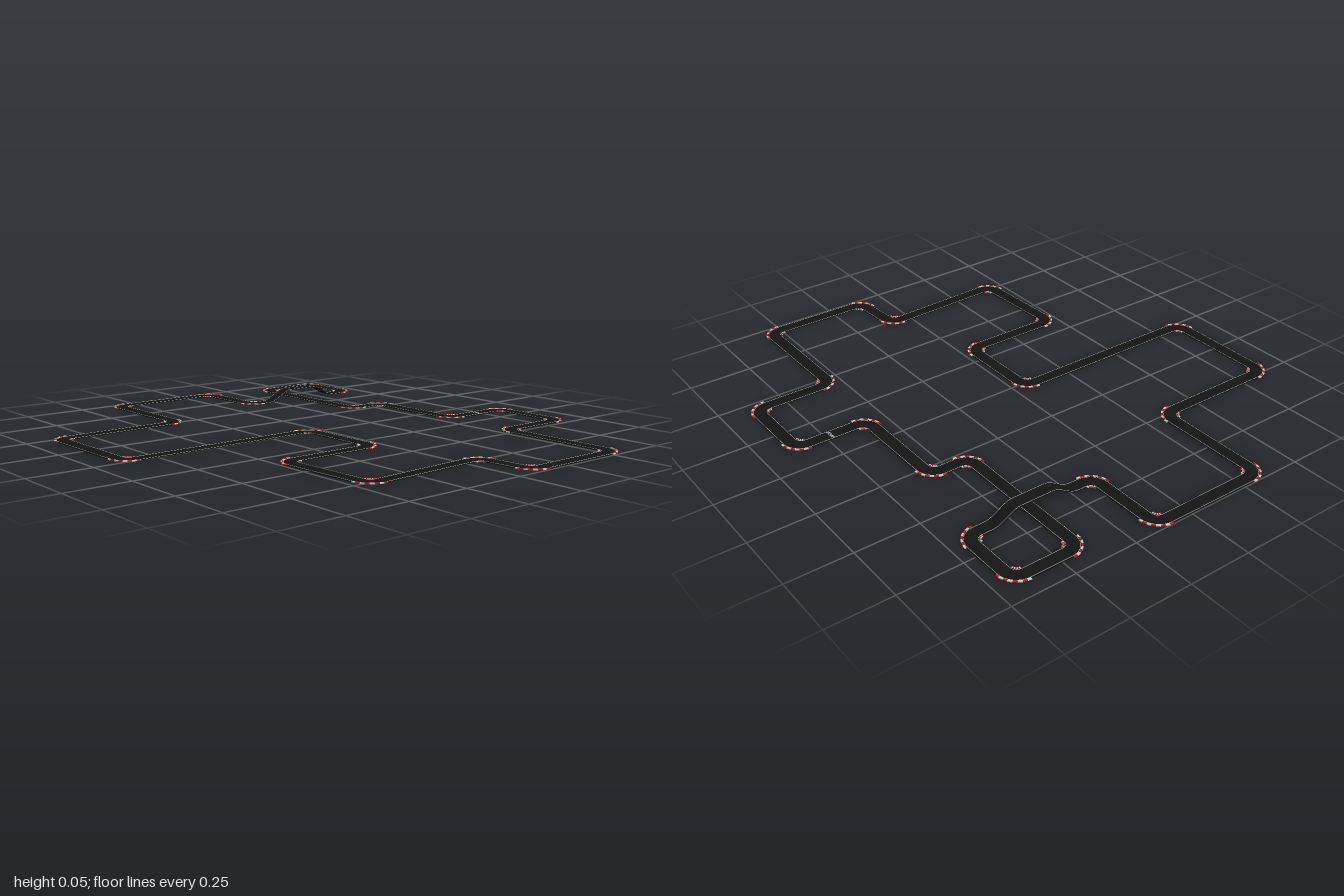
import * as THREE from 'three';

// Centre-line corners of the circuit as [x, z], in driving order
const CORNERS = [
  [-0.345, -0.968], [0.135, -0.968], [0.135, -0.648], [0.675, -0.648], [0.675, -0.907],
  [0.41, -0.907], [0.41, -0.294], [0.574, -0.294], [0.574, 0.132], [0.87, 0.132],
  [0.87, 0.452], [0.548, 0.452], [0.548, 0.964], [0.105, 0.964], [0.09, 0.737],
  [-0.443, 0.762], [-0.46, 0.345], [-0.05, 0.345], [-0.05, -0.02], [-0.874, -0.02],
  [-0.874, -0.495], [-0.345, -0.495],
];
const BRIDGE = 2; // straight that starts at this corner climbs over the other road
const RADIUS = 0.05, HALF = 0.028, ARC_STEPS = 8, ROAD_TOP = 0.003;

const { smoothstep } = THREE.MathUtils;
const bridgeHeight = (x) => 0.046 * smoothstep(x, 0.22, 0.335) * (1 - smoothstep(x, 0.465, 0.58));

// Rounded centre line; also notes where each bend begins
function buildPath() {
  const points = [], bends = [];
  const n = CORNERS.length;
  const corner = (i) => new THREE.Vector3(CORNERS[(i + n) % n][0], 0, CORNERS[(i + n) % n][1]);
  for (let i = 0; i < n; i++) {
    const p = corner(i);
    const u = corner(i - 1).sub(p).normalize();
    const v = corner(i + 1).sub(p).normalize();
    const centre = p.clone().addScaledVector(u, RADIUS).addScaledVector(v, RADIUS);
    bends.push(points.length);
    for (let s = 0; s <= ARC_STEPS; s++) {
      const a = (s / ARC_STEPS) * Math.PI / 2;
      points.push(centre.clone()
        .addScaledVector(v, -RADIUS * Math.cos(a))
        .addScaledVector(u, -RADIUS * Math.sin(a)));
    }
    if (i === BRIDGE) {
      const start = points[points.length - 1];
      const end = corner(i + 1).addScaledVector(v, -RADIUS);
      for (let s = 1; s < 48; s++) {
        const q = start.clone().lerp(end, s / 48);
        q.y = bridgeHeight(q.x);
        points.push(q);
      }
    }
  }
  // Sideways direction at each point, averaged from its two neighbouring pieces
  const flat = (a, b) => new THREE.Vector3(b.x - a.x, 0, b.z - a.z).normalize();
  const m = points.length;
  const sides = points.map((p, i) => {
    const t = flat(points[(i + m - 1) % m], p).add(flat(p, points[(i + 1) % m])).normalize();
    return new THREE.Vector3(-t.z, 0, t.x);
  });
  return { points, sides, bends };
}

// Adds a thin slab along the path between two sideways offsets
function addStrip(out, path, from, count, o0, o1, y0, y1, capped) {
  const m = path.points.length;
  const section = (i) => {
    const p = path.points[i % m], s = path.sides[i % m];
    return [[o0, y0], [o0, y1], [o1, y1], [o1, y0]].map(([o, y]) =>
      [p.x + s.x * o, p.y + y, p.z + s.z * o]);
  };
  const quad = (a, b, c, d) => out.push(...a, ...b, ...c, ...a, ...c, ...d);
  for (let i = from; i < from + count; i++) {
    const A = section(i), B = section(i + 1);
    for (let k = 0; k < 4; k++) quad(A[k], A[(k + 1) % 4], B[(k + 1) % 4], B[k]);
  }
  if (capped) {
    const A = section(from), B = section(from + count);
    quad(A[3], A[2], A[1], A[0]);
    quad(B[0], B[1], B[2], B[3]);
  }
}

function stripMesh(name, positions, color) {
  const geometry = new THREE.BufferGeometry();
  geometry.setAttribute('position', new THREE.Float32BufferAttribute(positions, 3));
  geometry.computeVertexNormals();
  const mesh = new THREE.Mesh(geometry, new THREE.MeshStandardMaterial({ color }));
  mesh.name = name;
  return mesh;
}

export function createModel() {
  const group = new THREE.Group();
  group.name = 'raceCircuit';
  const path = buildPath();
  const total = path.points.length;

  // Asphalt with the raised bridge
  const road = [];
  addStrip(road, path, 0, total, -HALF, HALF, 0, ROAD_TOP, false);
  group.add(stripMesh('road', road, 0x141414));

  // Thin painted lines along both edges
  const lines = [];
  for (const o of [-0.0245, 0.0245]) {
    addStrip(lines, path, 0, total, o - 0.0006, o + 0.0006, ROAD_TOP - 0.001, ROAD_TOP + 0.0008, false);
  }
  group.add(stripMesh('edgeLines', lines, 0xe8e8e8));

  // Red and white kerb blocks on both sides of every bend
  const red = [], white = [];
  for (const bend of path.bends) {
    for (let s = 0; s < ARC_STEPS; s++) {
      const target = s % 2 ? white : red;
      addStrip(target, path, bend + s, 1, -HALF - 0.006, -HALF + 0.001, 0.001, 0.005, true);
      addStrip(target, path, bend + s, 1, HALF - 0.001, HALF + 0.006, 0.001, 0.005, true);
    }
  }
  group.add(stripMesh('redKerbs', red, 0xc01818), stripMesh('whiteKerbs', white, 0xe8e8e8));

  // Chequered start line
  const startLine = new THREE.Group();
  startLine.name = 'startLine';
  const tile = new THREE.BoxGeometry(0.006, 0.001, 0.006);
  const paint = new THREE.MeshStandardMaterial({ color: 0xe8e8e8 });
  for (let i = 0; i < 8; i++) {
    const mesh = new THREE.Mesh(tile, paint);
    mesh.name = 'startTile';
    mesh.position.set(0.728 + (i % 2 ? 0.003 : -0.003), ROAD_TOP + 0.0004, 0.132 + (i - 3.5) * 0.006);
    startLine.add(mesh);
  }
  group.add(startLine);
  return group;
}
